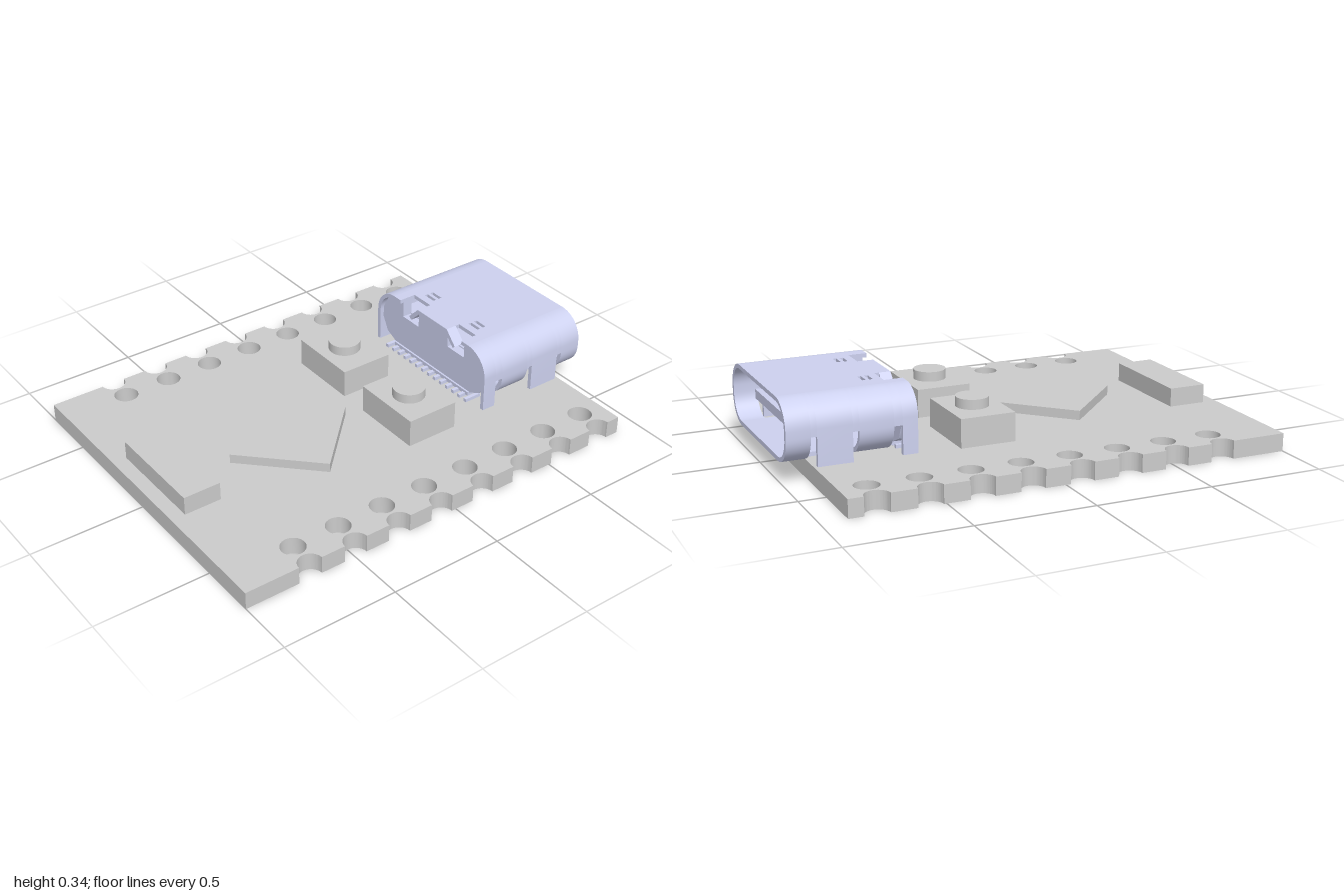
import * as THREE from 'three';
import { toCreasedNormals } from 'three/addons/utils/BufferGeometryUtils.js';

const grey = new THREE.MeshStandardMaterial({ color: 0xcccccc });
const steel = new THREE.MeshStandardMaterial({ color: 0xcdd1ef });
const BOARD = 0.077;

function add(parent, name, geometry, material = grey) {
  const mesh = new THREE.Mesh(geometry, material);
  mesh.name = name;
  parent.add(mesh);
  return mesh;
}

// Box given by its limits on each axis
function box(parent, name, [x0, x1], [y0, y1], [z0, z1], material = grey) {
  const mesh = add(parent, name, new THREE.BoxGeometry(x1 - x0, y1 - y0, z1 - z0), material);
  mesh.position.set((x0 + x1) / 2, (y0 + y1) / 2, (z0 + z1) / 2);
  return mesh;
}

function extrude(shape, depth) {
  const g = new THREE.ExtrudeGeometry(shape, { depth, bevelEnabled: false, curveSegments: 16 });
  return toCreasedNormals(g, 0.6);
}

// Flat plate drawn in x and z, its top face at y = top
const plate = (shape, thickness, top) =>
  extrude(shape, thickness).rotateX(Math.PI / 2).translate(0, top, 0);

// Closed shape from x, y pairs
const polygon = (pts) => new THREE.Shape(pts.map(([x, y]) => new THREE.Vector2(x, y)));

function rectHole(x0, x1, y0, y1) {
  return polygon([[x0, y0], [x0, y1], [x1, y1], [x1, y0]]);
}

// Circuit board with a row of holes and half-round edge notches per side
function makeBoard(parent) {
  const W = 0.75, R = 0.052;
  const rows = Array.from({ length: 8 }, (_, i) => -0.775 + i * 0.212);
  const shape = new THREE.Shape();
  shape.moveTo(-W, -0.89);
  shape.lineTo(W, -0.89);
  for (const z of rows) {
    shape.lineTo(W, z - R);
    shape.absarc(W, z, R, -Math.PI / 2, Math.PI / 2, true);
  }
  shape.lineTo(W, 1);
  shape.lineTo(-W, 1);
  for (const z of [...rows].reverse()) {
    shape.lineTo(-W, z + R);
    shape.absarc(-W, z, R, Math.PI / 2, -Math.PI / 2, true);
  }
  shape.closePath();
  for (const z of rows) for (const s of [-1, 1]) {
    const hole = new THREE.Path();
    hole.absarc(s * 0.635, z, R, 0, Math.PI * 2, true);
    shape.holes.push(hole);
  }
  add(parent, 'board', plate(shape, BOARD, BOARD));
}

// One edge of the shell's side wall: a full round, a straight leg or only the upper half
function wallEdge(side, kind, r) {
  const pts = [], N = 12, cx = 0.255;
  const arc = (cy, from, to) => {
    for (let i = 0; i <= N; i++) {
      const a = from + (to - from) * i / N;
      pts.push([side * (cx + r * Math.cos(a)), cy + r * Math.sin(a)]);
    }
  };
  arc(0.23, Math.PI / 2, 0);
  if (kind === 'round') arc(0.2, 0, -Math.PI / 2);
  else pts.push([side * (cx + r), kind === 'leg' ? BOARD : 0.2]);
  return pts;
}

function makeSocket(parent) {
  const socket = new THREE.Group();
  socket.name = 'socket';
  parent.add(socket);

  // Side walls, cut along z into rounds, slots and legs
  const sections = [
    [-1, -0.9, 'round'], [-0.9, -0.875, 'upper'], [-0.875, -0.73, 'leg'],
    [-0.73, -0.703, 'upper'], [-0.703, -0.56, 'round'], [-0.56, -0.524, 'upper'],
    [-0.524, -0.46, 'leg'],
  ];
  for (const side of [-1, 1]) for (const [z0, z1, kind] of sections) {
    const outline = [...wallEdge(side, kind, 0.115), ...wallEdge(side, kind, 0.097).reverse()];
    add(socket, 'shellSide', extrude(polygon(outline), z1 - z0).translate(0, 0, z0), steel);
  }

  // Roof with rear cut-outs and small spring slots
  const roof = polygon([
    [-0.255, -1], [0.255, -1], [0.255, -0.46], [0.21, -0.46], [0.21, -0.54], [0.1, -0.54],
    [0.1, -0.47], [-0.1, -0.47], [-0.1, -0.54], [-0.21, -0.54], [-0.21, -0.46], [-0.255, -0.46],
  ]);
  for (const x of [-0.15, 0.15]) {
    roof.holes.push(rectHole(x - 0.03, x + 0.03, -0.62, -0.605));
    roof.holes.push(rectHole(x - 0.03, x + 0.03, -0.59, -0.575));
  }
  add(socket, 'shellRoof', plate(roof, 0.018, 0.345), steel);
  box(socket, 'shellFloor', [-0.255, 0.255], [0.085, 0.103], [-1, -0.47], steel);

  // Bent locking tabs at the rear of the roof
  for (const s of [-1, 1]) {
    const tab = polygon([[s * 0.1, 0.345], [s * 0.158, 0.285], [s * 0.144, 0.273], [s * 0.09, 0.327]]);
    add(socket, 'lockingTab', extrude(tab, 0.05).translate(0, 0, -0.52), steel);
    box(socket, 'rearSpring', [s * 0.15 - 0.03, s * 0.15 + 0.03], [0.318, 0.328], [-0.625, -0.57], steel);
  }

  // Inner housing closing the rear, notched under the tabs
  const housing = polygon([
    [0.255, 0.1], [0.32, 0.13], [0.352, 0.19], [0.352, 0.24], [0.32, 0.3], [0.255, 0.327],
    [0.21, 0.327], [0.21, 0.255], [0.1, 0.255], [0.1, 0.327], [-0.1, 0.327], [-0.1, 0.255],
    [-0.21, 0.255], [-0.21, 0.327], [-0.255, 0.327], [-0.32, 0.3], [-0.352, 0.24],
    [-0.352, 0.19], [-0.32, 0.13], [-0.255, 0.1],
  ]);
  add(socket, 'housing', extrude(housing, 0.046).translate(0, 0, -0.524), steel);

  // Tongue with contact strips on both faces
  box(socket, 'tongueBase', [-0.27, 0.27], [0.185, 0.26], [-0.63, -0.52], steel);
  box(socket, 'tongue', [-0.24, 0.24], [0.197, 0.237], [-0.94, -0.6], steel);
  for (let i = 0; i < 12; i++) {
    const x = (i - 5.5) * 0.036;
    box(socket, 'contact', [x - 0.009, x + 0.009], [0.193, 0.241], [-0.91, -0.62], steel);
  }

  // Solder pins along the rear foot
  for (let i = 0; i < 14; i++) {
    const x = (i - 6.5) * 0.042;
    box(socket, 'solderPin', [x - 0.008, x + 0.008], [BOARD, 0.092], [-0.52, -0.44], steel);
  }
}

export function createModel() {
  const model = new THREE.Group();
  model.name = 'microcontrollerBoard';
  makeBoard(model);
  makeSocket(model);

  // Two push buttons
  for (const s of [-1, 1]) {
    const x = s * 0.228;
    box(model, 'buttonBody', [x - 0.162, x + 0.162], [BOARD, 0.2], [-0.285, -0.047]);
    const cap = add(model, 'buttonCap', new THREE.CylinderGeometry(0.07, 0.07, 0.042, 40));
    cap.position.set(x, 0.221, -0.166);
  }

  // Processor chip, turned 45 degrees
  const half = 0.292 / Math.SQRT2;
  const chip = box(model, 'chip', [-half, half], [BOARD, 0.118], [-half, half]);
  chip.position.x = 0.047;
  chip.position.z = 0.322;
  chip.rotation.y = Math.PI / 4;

  // Block near the front edge
  box(model, 'frontBlock', [-0.232, 0.228], [BOARD, 0.158], [0.773, 0.938]);
  return model;
}
